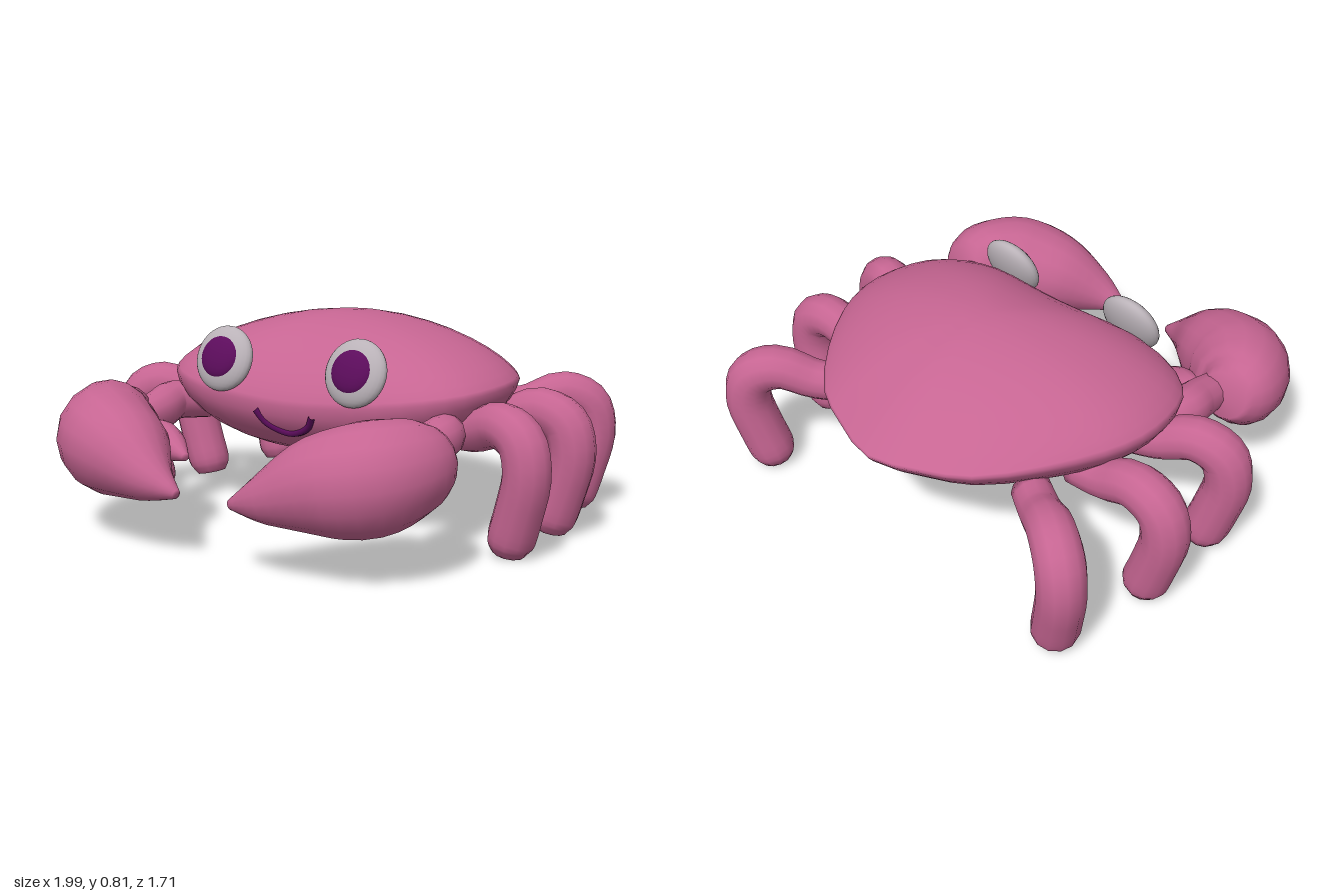
import * as THREE from 'three';
import { mergeVertices } from 'three/addons/utils/BufferGeometryUtils.js';

const V = (x, y, z) => new THREE.Vector3(x, y, z);

// Smooth skin over rows of points; each row is a closed ring.
function skin(rows) {
  const n = rows[0].length;
  const pos = rows.flat().flatMap((p) => [p.x, p.y, p.z]);
  const index = [];
  for (let i = 0; i < rows.length - 1; i++) {
    for (let j = 0; j < n; j++) {
      const a = i * n + j, b = i * n + (j + 1) % n;
      index.push(a, b, a + n, b, b + n, a + n);
    }
  }
  let g = new THREE.BufferGeometry();
  g.setAttribute('position', new THREE.Float32BufferAttribute(pos, 3));
  g.setIndex(index);
  g = mergeVertices(g, 1e-5);
  g.computeVertexNormals();
  return g;
}

// Limb of varying radius along a curve, closed at both ends.
function limb(points, radii, ref, steps = 24, sides = 12) {
  const path = new THREE.CatmullRomCurve3(points);
  const rad = new THREE.CatmullRomCurve3(radii.map((r, i) => V(r, i * 0.1, 0)));
  const rows = [];
  const ring = (t, scale) => {
    const p = path.getPoint(t), T = path.getTangent(t);
    const r = rad.getPoint(t).x * scale;
    const s = ref.clone().cross(T).normalize(), n = T.clone().cross(s);
    const row = [];
    for (let j = 0; j < sides; j++) {
      const a = (j / sides) * Math.PI * 2;
      row.push(p.clone().addScaledVector(s, r * Math.cos(a)).addScaledVector(n, r * Math.sin(a)));
    }
    rows.push(row);
  };
  ring(0, 0);
  for (let i = 0; i <= steps; i++) ring(i / steps, 1);
  ring(1, 0);
  return skin(rows);
}

// Shell: a plan outline with a domed top and a shallower, fuller belly.
function shellGeometry() {
  const half = [[0.2, -0.8], [0.37, -0.72], [0.54, -0.54], [0.66, -0.35], [0.71, -0.2],
    [0.71, -0.05], [0.665, 0.1], [0.56, 0.21], [0.4, 0.28], [0.2, 0.29]];
  const outline = [[0, -0.86], ...half, [0, 0.29], ...half.map(([x, z]) => [-x, z]).reverse()];
  const curve = new THREE.CatmullRomCurve3(outline.map(([x, z]) => V(x, 0, z)), true);
  const n = 44, rings = 20, cz = -0.22, rows = [];
  for (let i = 0; i <= rings; i++) {
    const phi = (i / rings) * Math.PI;
    const s = i === rings ? 0 : Math.sin(phi), c = Math.cos(phi);
    const row = [];
    for (let j = 0; j < n; j++) {
      const p = curve.getPoint(j / n);
      const dx = p.x, dz = p.z - cz;
      const f = dz / Math.hypot(dx, dz);           // 1 at the front, -1 at the back
      const rim = 0.58 - (f > 0 ? 0.08 : 0.05) * f * f;
      const e = c > 0 ? (f < 0 ? 0.72 + 0.4 * f * f : 0.72) : 0.65 - 0.17 * f;
      const h = c > 0 ? 0.81 - rim : 0.24 - rim;
      row.push(V(dx * s, rim + h * Math.pow(Math.abs(c), 2 * e), cz + dz * s));
    }
    rows.push(row);
  }
  return skin(rows);
}

export function createModel() {
  const material = (name, color) => {
    const m = new THREE.MeshStandardMaterial({ color });
    m.name = name;
    return m;
  };
  const pink = material('shell pink', 0xc66592);
  const white = material('eye grey white', 0xbab2b8);
  const purple = material('dark purple', 0x5c0c5c);

  const model = new THREE.Group();
  model.name = 'crab';
  const add = (name, geometry, mat) => {
    const m = new THREE.Mesh(geometry, mat);
    m.name = name;
    model.add(m);
    return m;
  };

  add('shell', shellGeometry(), pink);

  // Leg profile: distance outward from the leg's root, and height
  const legProfile = [[0, 0.42], [0.13, 0.43], [0.27, 0.475], [0.375, 0.43], [0.405, 0.32],
    [0.37, 0.17], [0.335, 0.06], [0.325, 0.014]];
  const legRadii = [0.075, 0.078, 0.086, 0.09, 0.09, 0.09, 0.088, 0.062];
  const legs = [
    ['front', 0.52, -0.05, 0.95, 0.31],
    ['middle', 0.5, -0.31, 1, 0],
    ['back', 0.468, -0.52, 0.82, -0.57],
  ];

  for (const side of [1, -1]) {
    const label = side > 0 ? 'Left' : 'Right';
    const pts = (list) => list.map(([x, y, z]) => V(side * x, y, z));

    for (const [name, x, z, dx, dz] of legs) {
      const path = legProfile.map(([d, y]) => [x + d * dx, y, z + d * dz]);
      add(name + 'Leg' + label, limb(pts(path), legRadii, V(-dz * side, 0, dx)), pink);
    }

    // Arm, big claw and the small inner finger
    const up = V(0, 1, 0);
    add('arm' + label, limb(pts([[0.55, 0.43, 0.05], [0.62, 0.44, 0.18], [0.61, 0.42, 0.28], [0.61, 0.4, 0.4]]),
      [0.075, 0.08, 0.08, 0.07], up, 12), pink);
    add('claw' + label, limb(pts([[0.68, 0.43, 0.355], [0.67, 0.405, 0.47], [0.58, 0.37, 0.61],
      [0.42, 0.34, 0.69], [0.25, 0.285, 0.755], [0.12, 0.25, 0.775]]),
    [0.095, 0.168, 0.2, 0.172, 0.09, 0.018], up, 20, 16), pink);
    add('clawFinger' + label, limb(pts([[0.6, 0.36, 0.36], [0.5, 0.34, 0.395], [0.41, 0.32, 0.44], [0.32, 0.3, 0.48]]),
      [0.04, 0.065, 0.055, 0.016], up, 12), pink);

    // Eye: flattened ball leaning back, with a domed pupil
    const eye = new THREE.Group();
    eye.name = 'eye' + label;
    eye.position.set(side * 0.3, 0.65, 0.255);
    eye.rotation.x = -0.33;
    const ball = new THREE.Mesh(new THREE.SphereGeometry(1, 28, 18), white);
    ball.name = 'eyeball' + label;
    ball.scale.set(0.128, 0.128, 0.05);
    const pupil = new THREE.Mesh(new THREE.SphereGeometry(1, 24, 16), purple);
    pupil.name = 'pupil' + label;
    pupil.scale.set(0.085, 0.083, 0.03);
    pupil.position.z = 0.03;
    eye.add(ball, pupil);
    model.add(eye);
  }

  // Smile following the front of the shell
  const smile = new THREE.CatmullRomCurve3([V(-0.13, 0.475, 0.287), V(-0.095, 0.425, 0.266), V(0, 0.39, 0.245),
    V(0.095, 0.425, 0.266), V(0.13, 0.475, 0.287)]);
  add('smile', new THREE.TubeGeometry(smile, 24, 0.014, 8), purple);

  return model;
}
